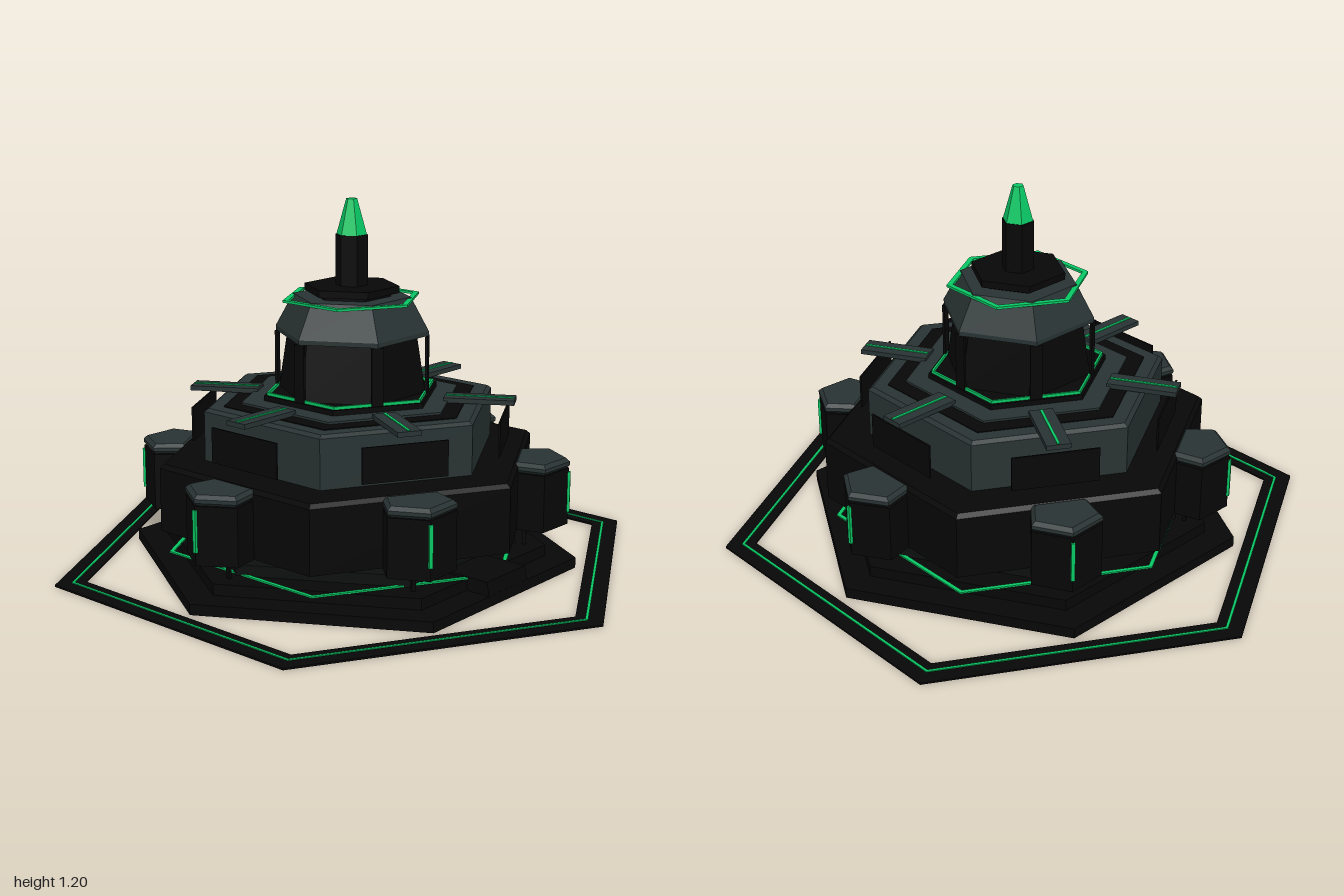
import * as THREE from 'three';

const mat = (name, color) => {
  const m = new THREE.MeshStandardMaterial({ color });
  m.name = name;
  return m;
};

export function createModel() {
  const root = new THREE.Group();
  root.name = 'hexFortress';
  const dark = mat('blackMetal', 0x070707);
  const mid = mat('charcoalMetal', 0x0d0f0f);
  const gray = mat('slateArmor', 0x293333);
  const green = mat('greenGlow', 0x08c864);

  const add = (name, geo, material, parent = root) => {
    const m = new THREE.Mesh(geo, material);
    m.name = name;
    parent.add(m);
    return m;
  };
  const flat = (geo) => {
    const g = geo.toNonIndexed();
    g.computeVertexNormals();
    return g;
  };
  // Six-sided prism from y0 to y1; side = true puts corners on the x axis
  const hex = (name, r0, r1, y0, y1, material, side) => {
    const g = new THREE.CylinderGeometry(r1, r0, y1 - y0, 6);
    if (side) g.rotateY(Math.PI / 6);
    g.translate(0, (y0 + y1) / 2, 0);
    return add(name, flat(g), material);
  };
  const hexPoints = (r) => Array.from({ length: 6 }, (_, i) => {
    const a = (i + 0.5) * Math.PI / 3;
    return new THREE.Vector2(Math.cos(a) * r, Math.sin(a) * r);
  });
  // Flat hexagonal frame with corners on the z axis
  const ring = (name, outer, inner, y0, y1, material) => {
    const s = new THREE.Shape(hexPoints(outer));
    s.holes.push(new THREE.Path(hexPoints(inner)));
    const g = new THREE.ExtrudeGeometry(s, { depth: y1 - y0, bevelEnabled: false });
    g.rotateX(-Math.PI / 2).translate(0, y0, 0);
    return add(name, g, material);
  };
  const box = (name, w, h, d, x, y, z, material, parent = root) =>
    add(name, new THREE.BoxGeometry(w, h, d).translate(x, y, z), material, parent);

  // Ground frame
  ring('groundRing', 1.0, 0.9, 0, 0.006, dark);
  ring('groundRingGlow', 0.946, 0.936, 0.006, 0.009, green);

  // Stepped base
  hex('baseStep', 0.75, 0.75, 0, 0.035, dark, true);
  hex('middleStep', 0.65, 0.65, 0.035, 0.072, dark, true);
  ring('stepGlow', 0.625, 0.61, 0.072, 0.077, green);
  hex('upperStep', 0.55, 0.55, 0.072, 0.108, mid, true);
  hex('neck', 0.4, 0.4, 0.108, 0.152, dark, true);

  // Front entry ramp
  const rampSide = new THREE.Shape([[0.47, 0.03], [0.65, 0.03], [0.64, 0.08], [0.47, 0.08]]
    .map(([x, y]) => new THREE.Vector2(x, y)));
  add('entryRamp', new THREE.ExtrudeGeometry(rampSide, { depth: 0.2, bevelEnabled: false })
    .translate(0, 0, -0.1).rotateY(-Math.PI / 2), dark);

  // Main hall, its walls facing the pods
  hex('mainHall', 0.65, 0.65, 0.15, 0.36, dark, false);
  hex('mainHallRoof', 0.65, 0.635, 0.36, 0.373, dark, false);

  // Armoured tier with layered roof
  hex('armorTier', 0.5, 0.5, 0.37, 0.535, gray, false);
  hex('armorTierBevel', 0.5, 0.485, 0.535, 0.545, gray, false);
  hex('tierRoof', 0.435, 0.435, 0.544, 0.548, dark, false);
  ring('tierRoofBand', 0.375, 0.3, 0.545, 0.555, gray);
  hex('towerFoot', 0.3, 0.3, 0.545, 0.572, dark, false);
  ring('towerFootGlow', 0.29, 0.282, 0.572, 0.582, green);

  // Tower, crown and mast
  hex('tower', 0.245, 0.215, 0.57, 0.765, dark, true);
  hex('crownRim', 0.255, 0.255, 0.76, 0.775, gray, true);
  hex('crown', 0.255, 0.195, 0.775, 0.885, gray, true);
  ring('crownGlow', 0.234, 0.214, 0.874, 0.882, green);
  hex('crownNeck', 0.13, 0.13, 0.885, 0.9, dark, true);
  hex('crownPlate', 0.157, 0.157, 0.897, 0.92, dark, true);
  hex('mast', 0.053, 0.053, 0.92, 1.085, dark, true);
  hex('beacon', 0.05, 0.018, 1.085, 1.2, green, true);

  // Pod outline: x points outward from the centre
  const podShape = (s) => new THREE.Shape([[0.55, -0.09], [0.65, -0.112], [0.72, 0], [0.65, 0.112], [0.55, 0.09]]
    .map(([x, y]) => new THREE.Vector2(0.62 + (x - 0.62) * s, y * s)));
  const podBody = new THREE.ExtrudeGeometry(podShape(1), { depth: 0.19, bevelEnabled: false })
    .rotateX(-Math.PI / 2).translate(0, 0.15, 0);
  const podCap = new THREE.ExtrudeGeometry(podShape(0.88), {
    depth: 0.012, bevelEnabled: true, bevelSegments: 1, bevelSize: 0.012, bevelThickness: 0.012,
  }).rotateX(-Math.PI / 2).translate(0, 0.35, 0);

  // Corner sectors: pod, post, roof arm and floating armour panels
  for (let i = 0; i < 6; i++) {
    const sector = new THREE.Group();
    sector.name = 'podSector' + (i + 1);
    sector.rotation.y = i * Math.PI / 3;
    root.add(sector);
    add('pod', podBody, dark, sector);
    add('podCap', podCap, gray, sector);
    box('podGlow', 0.012, 0.135, 0.012, 0.719, 0.26, 0, green, sector);
    box('basePost', 0.012, 0.06, 0.012, 0.58, 0.1, 0, dark, sector);
    box('postLight', 0.012, 0.008, 0.012, 0.58, 0.133, 0, green, sector);
    box('roofArm', 0.23, 0.016, 0.078, 0.425, 0.557, 0, gray, sector);
    box('roofArmGlow', 0.22, 0.004, 0.009, 0.425, 0.566, 0, green, sector);
    box('floatingPanel', 0.006, 0.115, 0.28, 0.505, 0.46, 0, dark, sector);
    box('towerPanel', 0.008, 0.19, 0.04, 0.25, 0.665, 0, dark, sector);
  }
  return root;
}
